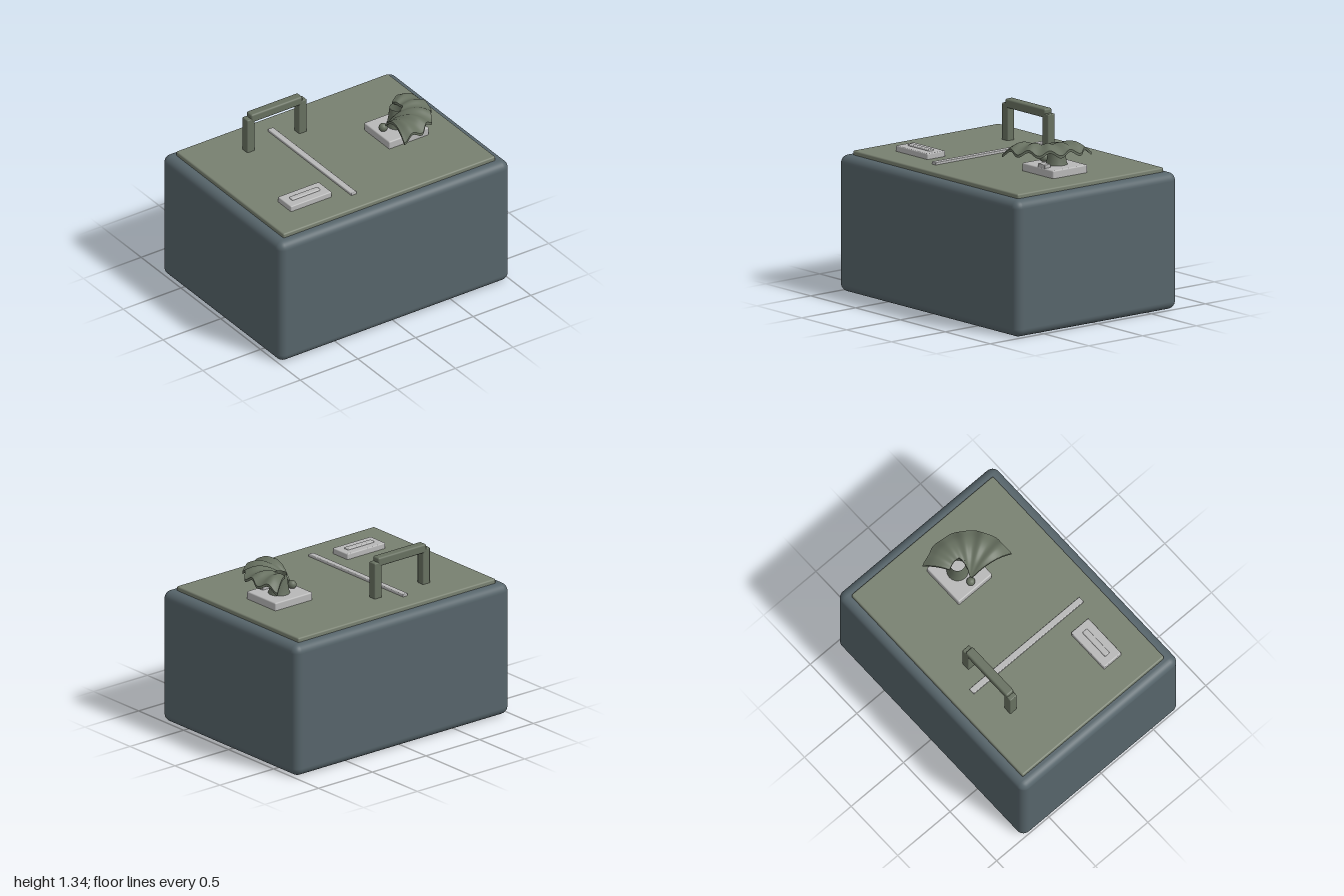
import * as THREE from 'three';
import { RoundedBoxGeometry } from 'three/addons/geometries/RoundedBoxGeometry.js';

const mat = (name, color, side = THREE.FrontSide) => {
  const m = new THREE.MeshStandardMaterial({ color, side });
  m.name = name;
  return m;
};

export function createModel() {
  const slate = mat('slate', 0x56646a);
  const sage = mat('sage', 0x788070);
  const olive = mat('olive', 0x677060, THREE.DoubleSide);
  const grey = mat('light grey', 0xb8b8b8);

  const model = new THREE.Group();
  model.name = 'cooler';

  const add = (name, geometry, material, x = 0, y = 0, z = 0, parent = model) => {
    const mesh = new THREE.Mesh(geometry, material);
    mesh.name = name;
    mesh.position.set(x, y, z);
    parent.add(mesh);
    return mesh;
  };
  // rounded box given by its extents on each axis
  const block = (name, material, [x0, x1], [y0, y1], [z0, z1], r, parent = model) =>
    add(name, new RoundedBoxGeometry(x1 - x0, y1 - y0, z1 - z0, 4, r), material,
      (x0 + x1) / 2, (y0 + y1) / 2, (z0 + z1) / 2, parent);

  // Body and lid plate
  block('body', slate, [-1, 1], [0, 1], [-0.75, 0.75], 0.06);
  block('lid', sage, [-0.92, 0.92], [0.96, 1.032], [-0.68, 0.675], 0.012);

  // Carry handle: two posts and a grip
  const handle = new THREE.Group();
  handle.name = 'handle';
  model.add(handle);
  for (const x of [-0.48, -0.03])
    block('handlePost', olive, [x - 0.033, x + 0.033], [1.02, 1.302], [-0.435, -0.37], 0.008, handle);
  block('handleGrip', olive, [-0.478, -0.032], [1.27, 1.337], [-0.437, -0.368], 0.014, handle);

  // Long trim strip
  block('trimStrip', grey, [-0.227, -0.18], [1.02, 1.05], [-0.53, 0.522], 0.006);

  // Latch plate with raised bar
  block('latchPlate', grey, [-0.705, -0.35], [1.02, 1.074], [0.29, 0.456], 0.008);
  block('latchBar', grey, [-0.65, -0.405], [1.06, 1.085], [0.349, 0.394], 0.008);

  // Spout: base plate, small tab, hollow flared stem
  const spout = new THREE.Group();
  spout.name = 'spout';
  model.add(spout);
  block('spoutBase', grey, [0.35, 0.697], [1.02, 1.09], [-0.158, 0.162], 0.01, spout);
  block('spoutTab', grey, [0.52, 0.6], [1.07, 1.115], [0.1, 0.16], 0.006, spout);
  const stem = [[0.08, 1.085], [0.072, 1.11], [0.064, 1.16], [0.056, 1.235]]
    .map(([r, y]) => new THREE.Vector2(r, y));
  add('stem', new THREE.LatheGeometry(stem, 28), olive, 0.535, 0, -0.005, spout);
  add('knob', new THREE.SphereGeometry(0.032, 20, 14), olive, 0.405, 1.115, 0.005, spout);

  // Rippled fan: a slab bent into a sector with a wavy, drooping rim
  const ridge = new THREE.CatmullRomCurve3([
    [0, 1.12], [0.06, 1.18], [0.12, 1.225], [0.2, 1.25], [0.27, 1.245], [0.34, 1.212],
  ].map(([r, y]) => new THREE.Vector3(r, y, 0)));
  const fan = new THREE.BoxGeometry(1, 1, 1, 20, 1, 72);
  const p = fan.attributes.position;
  for (let i = 0; i < p.count; i++) {
    const u = p.getX(i) + 0.5, v = p.getZ(i) + 0.5;
    const angle = THREE.MathUtils.lerp(-0.59, 1.75, v);
    // inner edge steps outward beside the hollow stem
    const inner = 0.02 + 0.14 * (1 - THREE.MathUtils.smoothstep(angle, 0.12, 0.7));
    const wave = Math.cos(v * Math.PI * 10);
    const t = THREE.MathUtils.lerp(inner / 0.34, 1, u);
    const mid = ridge.getPoint(t);
    const r = mid.x * (1 + 0.025 * t * wave);
    const droop = 0.025 * t * t * Math.pow(Math.abs(2 * v - 1), 4);
    const y = mid.y + 0.018 * t * t * -wave - droop + p.getY(i) * 0.02;
    p.setXYZ(i, r * Math.cos(angle), y, r * Math.sin(angle));
  }
  fan.computeVertexNormals();
  add('fan', fan, olive, 0.415, 0, 0.005, spout);

  return model;
}
